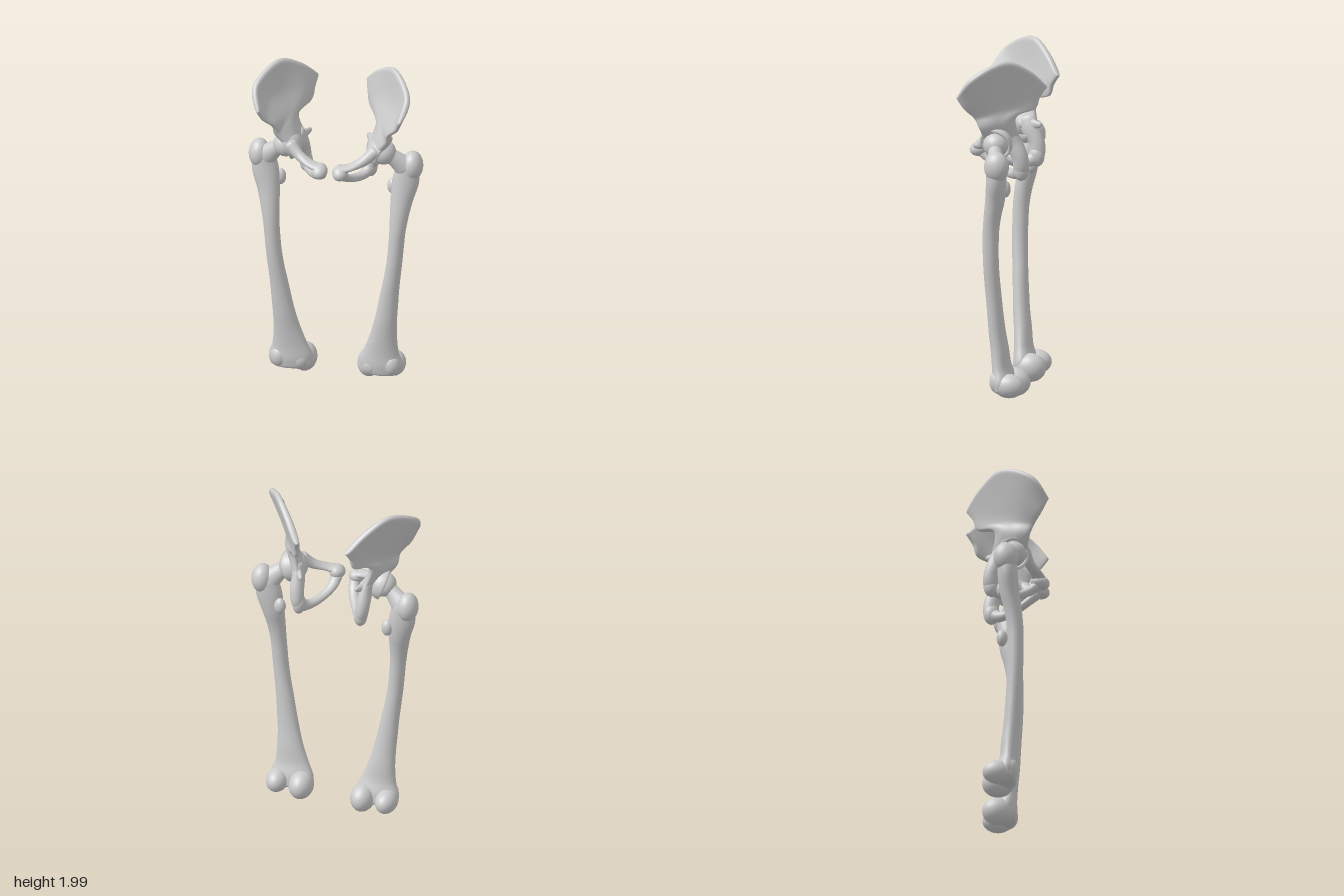
import * as THREE from 'three';

// Catmull-Rom through rows of numbers, t from 0 to 1
function spline(keys, t) {
  const n = keys.length - 1;
  const i = Math.min(Math.floor(t * n), n - 1);
  const f = t * n - i;
  const at = (k) => keys[Math.max(0, Math.min(n, k))];
  const [p, q, r, s] = [at(i - 1), at(i), at(i + 1), at(i + 2)];
  return q.map((b, k) => {
    const a = p[k], c = r[k], d = s[k];
    return 0.5 * (2 * b + (c - a) * f + (2 * a - 5 * b + 4 * c - d) * f * f + (3 * b - a - 3 * c + d) * f ** 3);
  });
}

// Rounded-off thickness near both ends of a loft
function taper(t, e0, e1) {
  const round = (d, e) => (d >= e ? 1 : Math.sqrt(Math.max(0, 1 - (1 - d / e) ** 2)));
  return round(t, e0) * round(1 - t, e1);
}

const ease = (k, n) => (1 - Math.cos((Math.PI * k) / n)) / 2;

function flip(geo) {
  const ix = geo.index.array;
  for (let i = 0; i < ix.length; i += 3) [ix[i], ix[i + 1]] = [ix[i + 1], ix[i]];
  return geo;
}

// Closed loft: pointAt(row, column) gives a Vector3; faces are turned outward
function loft(rows, cols, pointAt) {
  const pos = [], index = [];
  for (let j = 0; j <= rows; j++) {
    for (let i = 0; i < cols; i++) pos.push(...pointAt(j, i).toArray());
  }
  for (let j = 0; j < rows; j++) {
    for (let i = 0; i < cols; i++) {
      const a = j * cols + i, b = j * cols + ((i + 1) % cols);
      index.push(a, b, a + cols, b, b + cols, a + cols);
    }
  }
  const geo = new THREE.BufferGeometry();
  geo.setAttribute('position', new THREE.Float32BufferAttribute(pos, 3));
  geo.setIndex(index);
  let volume = 0;
  const v = (k) => new THREE.Vector3().fromArray(pos, index[k] * 3);
  for (let k = 0; k < index.length; k += 3) volume += v(k).dot(v(k + 1).cross(v(k + 2)));
  if (volume < 0) flip(geo);
  geo.computeVertexNormals();
  return geo;
}

// Bone shaft through keys [x, y, z, radius across, radius along ref]
function limb(keys, ref, end = 0.06, rows = 48, cols = 28) {
  const axis = new THREE.Vector3(...ref);
  const rings = [];
  for (let j = 0; j <= rows; j++) {
    const t = ease(j, rows);
    const k = spline(keys, t);
    const p0 = spline(keys, Math.max(0, t - 0.01)), p1 = spline(keys, Math.min(1, t + 0.01));
    const dir = new THREE.Vector3(p1[0] - p0[0], p1[1] - p0[1], p1[2] - p0[2]).normalize();
    const side = dir.clone().cross(axis).normalize();
    const w = taper(t, end, end);
    rings.push({ c: new THREE.Vector3(k[0], k[1], k[2]), side, up: side.clone().cross(dir), a: k[3] * w, b: k[4] * w });
  }
  return loft(rows, cols, (j, i) => {
    const r = rings[j], g = (i / cols) * Math.PI * 2;
    return r.c.clone().addScaledVector(r.side, r.a * Math.cos(g)).addScaledVector(r.up, r.b * Math.sin(g));
  });
}

function knob(x, y, z, rx, ry, rz, tiltX = 0, tiltZ = 0) {
  return new THREE.SphereGeometry(1, 32, 22).scale(rx, ry, rz).rotateX(tiltX).rotateZ(tiltZ).translate(x, y, z);
}

// Hip blade: rows run from crest to socket, each from front to back: [x, y, z, half thickness]
function blade() {
  const grid = [
    [[.41, 1.785, .235, .022], [.448, 1.91, .14, .022], [.345, 1.997, -.03, .02], [.235, 1.93, -.15, .024], [.145, 1.82, -.235, .03]],
    [[.385, 1.715, .195, .024], [.38, 1.79, .1, .013], [.31, 1.82, -.02, .01], [.22, 1.79, -.12, .02], [.16, 1.76, -.195, .03]],
    [[.335, 1.655, .15, .024], [.315, 1.68, .075, .02], [.28, 1.7, 0, .018], [.225, 1.705, -.085, .022], [.175, 1.69, -.17, .024]],
    [[.32, 1.585, .12, .03], [.3, 1.6, .075, .035], [.272, 1.61, .025, .035], [.255, 1.63, -.03, .03], [.235, 1.645, -.072, .022]],
    [[.235, 1.49, .105, .025], [.21, 1.48, .06, .03], [.203, 1.48, .01, .03], [.203, 1.48, -.045, .03], [.195, 1.49, -.1, .025]],
  ];
  const rows = 56, cols = 64;
  const surf = (v, u) => spline(spline(grid.map((r) => r.flat()), v).reduce((out, n, i) => {
    if (i % 4 === 0) out.push([]);
    out[out.length - 1].push(n);
    return out;
  }, []), u);
  const vec = (k) => new THREE.Vector3(k[0], k[1], k[2]);
  const clamp = (t) => Math.max(0, Math.min(1, t));
  return loft(rows, cols, (j, i) => {
    const v = ease(j, rows), g = (i / cols) * Math.PI * 2, u = (1 - Math.cos(g)) / 2;
    const k = surf(v, u), d = 0.02;
    const du = vec(surf(v, clamp(u + d))).sub(vec(surf(v, clamp(u - d))));
    const dv = vec(surf(clamp(v + d), u)).sub(vec(surf(clamp(v - d), u)));
    const s = Math.sin(g);
    const off = k[3] * Math.sign(s) * Math.abs(s) ** 0.6 * taper(v, 0.06, 0.08);
    return vec(k).addScaledVector(du.cross(dv).normalize(), off);
  });
}

// Hollow cup that holds the ball of the thigh bone
function socket() {
  const profile = [];
  const arc = (r, from, to) => {
    for (let i = 0; i <= 14; i++) {
      const a = from + ((to - from) * i) / 14;
      profile.push(new THREE.Vector2(Math.max(0, r * Math.sin(a)), -r * Math.cos(a)));
    }
  };
  arc(0.096, 0, 1.6);
  arc(0.08, 1.62, 0);
  const geo = new THREE.LatheGeometry(profile, 40);
  const face = new THREE.Vector3(0.85, -0.35, 0.2).normalize();
  geo.applyQuaternion(new THREE.Quaternion().setFromUnitVectors(new THREE.Vector3(0, 1, 0), face));
  return geo.translate(0.283, 1.495, 0.033);
}

export function createModel() {
  const bone = new THREE.MeshStandardMaterial({ color: 0xcccccc });
  bone.name = 'bone grey';

  const hip = {
    hipBlade: blade(),
    hipSocket: socket(),
    upperPubicBranch: limb([
      [.255, 1.535, .085, .045, .04], [.19, 1.475, .125, .03, .03],
      [.115, 1.445, .165, .036, .02], [.04, 1.43, .185, .045, .026]], [0, 1, 0], 0.12),
    pubicBody: knob(.06, 1.415, .185, .046, .042, .056, 0.3),
    lowerHipRing: limb([
      [.055, 1.41, .18, .035, .035], [.065, 1.355, .12, .024, .03], [.105, 1.312, .04, .024, .026],
      [.155, 1.3, -.04, .03, .028], [.19, 1.335, -.09, .046, .036], [.202, 1.41, -.09, .046, .04],
      [.208, 1.49, -.05, .055, .036], [.225, 1.56, -.02, .05, .03]], [1, 0, 0]),
    sittingKnob: knob(.188, 1.33, -.092, .038, .062, .046),
    hipSpine: limb([[.21, 1.51, -.05, .04, .025], [.185, 1.515, -.09, .025, .016], [.165, 1.52, -.125, .012, .01]], [1, 0, 0], 0.15, 16, 16),
  };

  const thigh = {
    thighShaft: limb([
      [.425, 1.43, -.005, .06, .055], [.408, 1.31, .0, .077, .058], [.388, 1.2, .012, .066, .056],
      [.376, 1.1, .03, .055, .05], [.367, 1, .042, .047, .047], [.359, .9, .045, .045, .046],
      [.35, .8, .045, .045, .045], [.337, .7, .041, .047, .045], [.322, .6, .035, .052, .045],
      [.309, .5, .029, .058, .046], [.295, .4, .022, .065, .048], [.281, .3, .011, .078, .05],
      [.268, .2, .003, .1, .052], [.262, .12, -.008, .128, .064], [.26, .045, -.015, .118, .06]], [0, 0, 1], 0.03, 90),
    thighBall: knob(.283, 1.493, .033, .073, .073, .073),
    thighNeck: limb([[.285, 1.49, .033, .05, .045], [.34, 1.455, .022, .047, .042], [.41, 1.39, 0, .07, .055]], [0, 0, 1], 0.1, 24),
    outerThighKnob: knob(.445, 1.4, -.01, .061, .087, .072),
    innerThighKnob: knob(.328, 1.247, -.032, .034, .05, .032),
    outerKneeKnob: knob(.333, .095, -.055, .064, .07, .09),
    innerKneeKnob: knob(.188, .09, -.055, .07, .083, .092),
    outerKneeFront: knob(.325, .115, .005, .055, .07, .055),
    innerKneeFront: knob(.21, .1, .0, .06, .065, .052),
  };

  // Build the left side and mirror it to the right
  const model = new THREE.Group();
  model.name = 'hipAndThighBones';
  for (const side of ['left', 'right']) {
    for (const [label, parts] of [['HipBone', hip], ['ThighBone', thigh]]) {
      const group = new THREE.Group();
      group.name = side + label;
      for (const [name, geo] of Object.entries(parts)) {
        const mesh = new THREE.Mesh(side === 'left' ? geo : flip(geo.clone().scale(-1, 1, 1)), bone);
        mesh.name = name;
        group.add(mesh);
      }
      model.add(group);
    }
  }
  return model;
}
